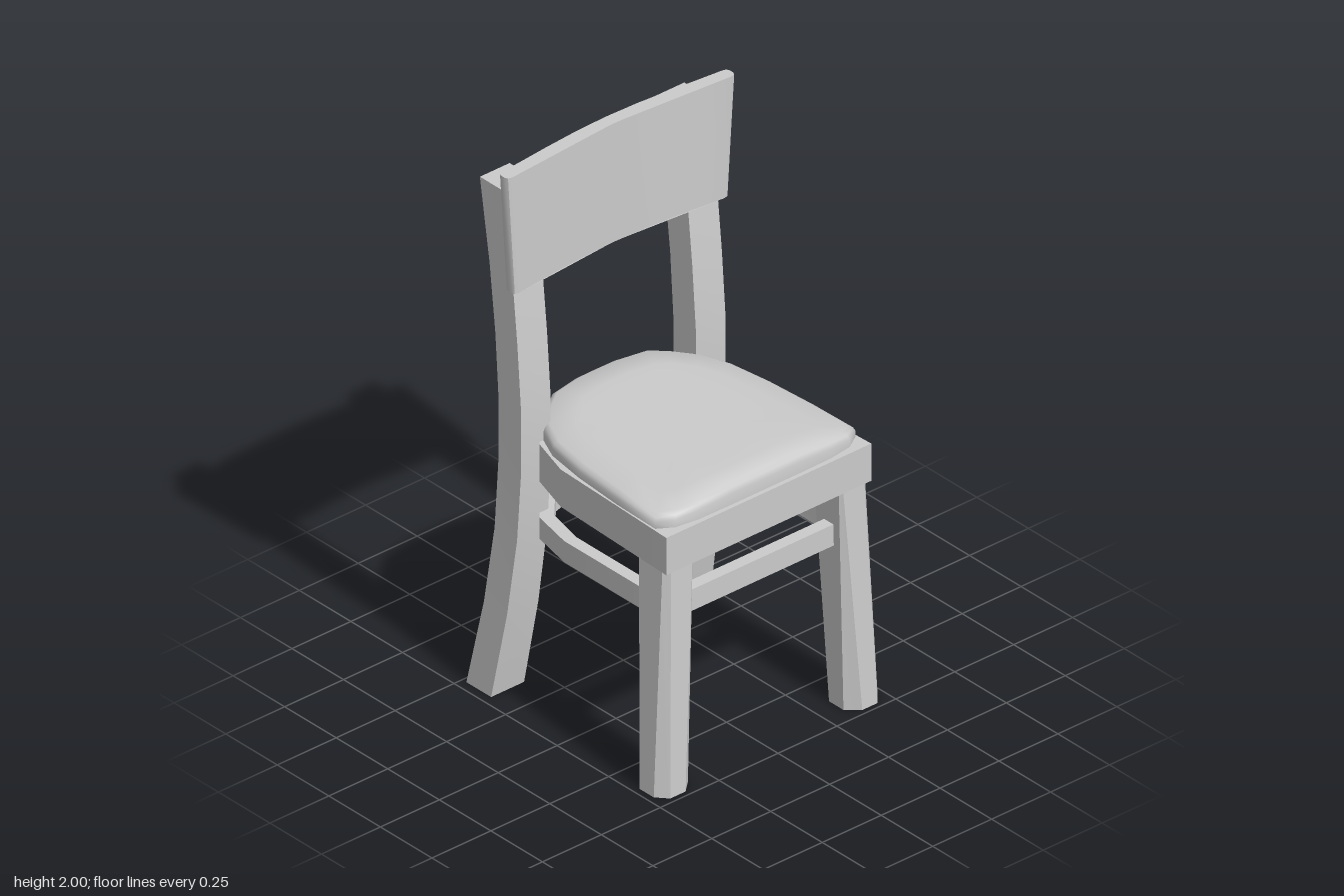
import * as THREE from 'three';
import { toCreasedNormals } from 'three/addons/utils/BufferGeometryUtils.js';

const material = new THREE.MeshStandardMaterial({ color: 0xcccccc });

function addMesh(group, name, geometry, crease = 0.3) {
  const mesh = new THREE.Mesh(toCreasedNormals(geometry, crease), material);
  mesh.name = name;
  group.add(mesh);
}

// Completes a half outline of [x, z] points (x >= 0) with its mirror image.
const mirrored = (half) => [
  ...half,
  ...half.filter(([x]) => x > 0).reverse().map(([x, z]) => [-x, z]),
];

// Joins rings of [x, y, z] points, listed bottom to top, into a capped solid.
function loft(rings) {
  const flat = rings[0].map(([x, , z]) => new THREE.Vector2(x, z));
  if (THREE.ShapeUtils.area(flat) > 0) rings = rings.map((r) => [...r].reverse());
  const n = rings[0].length;
  const last = rings.length - 1;
  const points = rings.flat();
  const index = [];
  for (let k = 0; k < last; k++) {
    for (let i = 0; i < n; i++) {
      const a = k * n + i;
      const b = k * n + ((i + 1) % n);
      index.push(a, b, a + n, b, b + n, a + n);
    }
  }
  // End caps, fanned from each ring's centre
  for (const [k, top] of [[0, false], [last, true]]) {
    const centre = [0, 1, 2].map((c) => rings[k].reduce((sum, p) => sum + p[c], 0) / n);
    const c = points.push(centre) - 1;
    for (let i = 0; i < n; i++) {
      const a = k * n + i;
      const b = k * n + ((i + 1) % n);
      index.push(...(top ? [c, a, b] : [c, b, a]));
    }
  }
  const geometry = new THREE.BufferGeometry();
  geometry.setAttribute('position', new THREE.Float32BufferAttribute(points.flat(), 3));
  geometry.setIndex(index);
  return geometry;
}

// Extrudes a plan outline of [x, z] points upward from y.
function slab(outline, y, height, hole) {
  const toPoints = (list) => list.map(([x, z]) => new THREE.Vector2(x, -z));
  const shape = new THREE.Shape(toPoints(outline));
  if (hole) shape.holes.push(new THREE.Path(toPoints(hole)));
  return new THREE.ExtrudeGeometry(shape, { depth: height, bevelEnabled: false })
    .rotateX(-Math.PI / 2)
    .translate(0, y, 0);
}

export function createModel() {
  const chair = new THREE.Group();
  chair.name = 'chair';

  // Seat frame with a rounded back
  const backCurve = [[0.415, -0.08], [0.365, -0.24], [0.29, -0.32], [0.24, -0.37], [0.075, -0.415]];
  addMesh(chair, 'seatFrame', slab(mirrored([[0.435, 0.455], ...backCurve]), 0.825, 0.14));

  // Stretcher ring below the seat
  const ringOuter = mirrored([[0.4, 0.41], [0.4, -0.08], ...backCurve.slice(1)]);
  const ringInner = mirrored([[0.355, 0.365], [0.355, -0.07], [0.32, -0.22], [0.26, -0.285], [0.215, -0.33], [0.07, -0.37]]);
  addMesh(chair, 'stretcherRing', slab(ringOuter, 0.61, 0.08, ringInner));

  // Cushion: shrinking rings, with a crown that falls off towards the sides
  const cushionPlan = mirrored([
    [0, 0.44], [0.15, 0.44], [0.28, 0.438], [0.37, 0.425], [0.425, 0.39], [0.42, 0.2], [0.405, 0],
    [0.38, -0.16], [0.335, -0.26], [0.26, -0.335], [0.2, -0.375], [0.08, -0.397], [0, -0.398],
  ]);
  const layers = [[1, 0.96], [1, 1.005], [0.985, 1.025], [0.95, 1.037], [0.75, 1.04], [0.55, 1.04], [0.3, 1.04], [0.02, 1.04]];
  const cushion = layers.map(([s, y]) => cushionPlan.map(([px, pz]) => {
    const x = px * s;
    const drop = 0.028 * Math.max(0, (Math.abs(x) - 0.2) / 0.2) * ((y - 0.96) / 0.08);
    return [x, y - drop, 0.05 + (pz - 0.05) * s];
  }));
  addMesh(chair, 'seatCushion', loft(cushion), 1.2);

  // Front legs: chamfered feet, squarer at the top
  const foot = [[0.475, 0.37], [0.475, 0.44], [0.44, 0.48], [0.375, 0.48], [0.33, 0.44], [0.33, 0.37]];
  const head = [[0.43, 0.318], [0.43, 0.43], [0.41, 0.45], [0.32, 0.45], [0.31, 0.44], [0.31, 0.318]];

  // Back legs: [y, front z, back z, inner x, outer x] up the curve
  const backLeg = [
    [0, -0.36, -0.48, 0.325, 0.465], [0.33, -0.3, -0.412, 0.317, 0.45], [0.62, -0.265, -0.374, 0.31, 0.438],
    [0.88, -0.25, -0.36, 0.308, 0.434], [1.12, -0.251, -0.36, 0.308, 0.434], [1.35, -0.268, -0.375, 0.308, 0.434],
    [1.6, -0.293, -0.403, 0.308, 0.434], [1.9, -0.335, -0.45, 0.308, 0.434],
  ];

  for (const [side, label] of [[1, 'left'], [-1, 'right']]) {
    const ring = (plan, y) => plan.map(([x, z]) => [x * side, y, z]);
    addMesh(chair, `${label}FrontLeg`, loft([ring(foot, 0), ring(head, 0.83)]));
    const rings = backLeg.map(([y, f, b, i, o]) => ring([[i, f], [o, f], [o, b], [i, b]], y));
    addMesh(chair, `${label}BackLeg`, loft(rings), 0.6);
  }

  // Backrest: curved board with rounded ends, wider at the top
  const boardPlan = mirrored([
    [0, -0.29], [0.13, -0.286], [0.27, -0.276], [0.38, -0.265], [0.465, -0.257], [0.48, -0.261], [0.485, -0.271],
    [0.485, -0.29], [0.48, -0.3], [0.465, -0.304], [0.38, -0.312], [0.27, -0.323], [0.13, -0.334], [0, -0.338],
  ]);
  const board = [[1.555, 0.94], [2, 1]].map(([y, s]) => boardPlan.map(([x, z]) => [x * s, y, z]));
  addMesh(chair, 'backrest', loft(board), 0.8);

  return chair;
}
